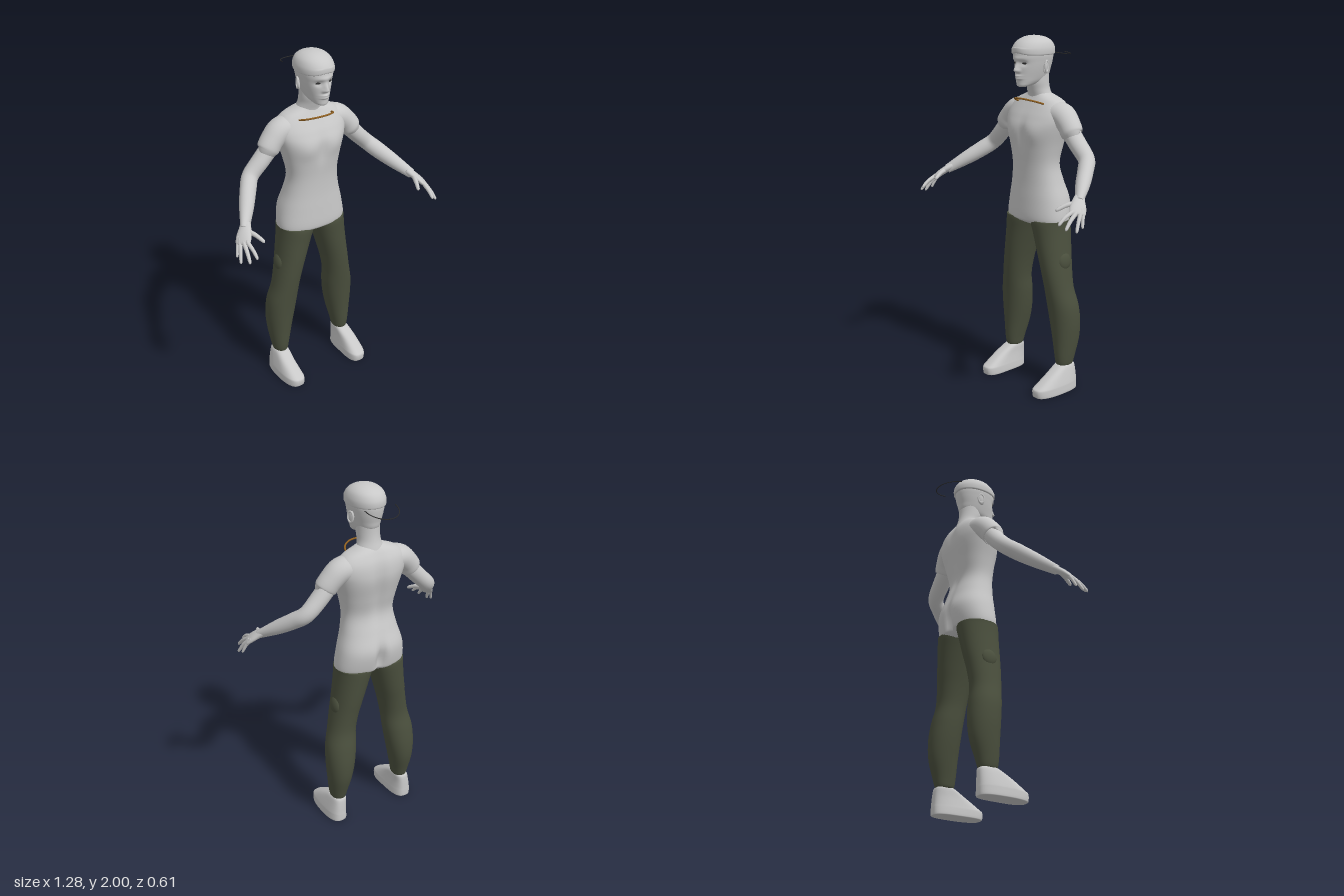
import * as THREE from 'three';

const mat = (name, color) => {
  const m = new THREE.MeshStandardMaterial({ color });
  m.name = name;
  return m;
};

// Smooth Catmull-Rom resampling of rows of numbers
function resample(rows, steps) {
  const out = [], n = rows.length;
  for (let i = 0; i < n - 1; i++) {
    const [a, b, c, d] = [rows[Math.max(i - 1, 0)], rows[i], rows[i + 1], rows[Math.min(i + 2, n - 1)]];
    for (let s = 0; s < steps; s++) {
      const t = s / steps;
      out.push(b.map((v, k) => v + 0.5 * t * (c[k] - a[k] +
        t * (2 * a[k] - 5 * v + 4 * c[k] - d[k] + t * (3 * (v - c[k]) + d[k] - a[k])))));
    }
  }
  out.push(rows[n - 1]);
  return out;
}

// Skin a list of rings (each running counter-clockwise about the path) and cap both ends
function skin(rings) {
  const n = rings[0].length, pos = [], idx = [];
  rings.forEach(r => r.forEach(p => pos.push(p.x, p.y, p.z)));
  for (let i = 0; i < rings.length - 1; i++) for (let j = 0; j < n; j++) {
    const a = i * n + j, b = i * n + (j + 1) % n;
    idx.push(a, b, b + n, a, b + n, a + n);
  }
  [0, rings.length - 1].forEach((i, end) => {
    const c = rings[i].reduce((s, p) => s.add(p), new THREE.Vector3()).divideScalar(n);
    const ci = pos.length / 3;
    pos.push(c.x, c.y, c.z);
    for (let j = 0; j < n; j++) {
      const a = i * n + j, b = i * n + (j + 1) % n;
      end ? idx.push(ci, a, b) : idx.push(ci, b, a);
    }
  });
  const g = new THREE.BufferGeometry();
  g.setAttribute('position', new THREE.Float32BufferAttribute(pos, 3));
  g.setIndex(idx);
  g.computeVertexNormals();
  return g;
}

const power = (v, p) => Math.sign(v) * Math.abs(v) ** (2 / p);

// Upright form from rows [y, centreX, halfWidth, zFront, zBack], listed upwards
function column(rows, { p = 2, seg = 40, steps = 5, shape = null } = {}) {
  return skin(resample(rows, steps).map(([y, cx, w, zf, zb]) =>
    Array.from({ length: seg }, (_, j) => {
      const t = j / seg * Math.PI * 2;
      const v = new THREE.Vector3(cx + w * power(Math.cos(t), p), y,
        (zf + zb) / 2 - (zf - zb) / 2 * power(Math.sin(t), p));
      if (shape) shape(v);
      return v;
    })));
}

// Limb along a path from rows [x, y, z, a, b]; radius a lies along ref
function limb(rows, side, ref, seg = 20, steps = 4) {
  const r = resample(rows.map(([x, ...rest]) => [x * side, ...rest]), steps);
  const at = i => new THREE.Vector3(...r[Math.min(Math.max(i, 0), r.length - 1)].slice(0, 3));
  const axis = new THREE.Vector3(ref[0] * side, ref[1], ref[2]);
  return skin(r.map((row, i) => {
    const T = at(i + 1).sub(at(i - 1)).normalize();
    const U = axis.clone().addScaledVector(T, -axis.dot(T)).normalize();
    const V = T.clone().cross(U);
    return Array.from({ length: seg }, (_, j) => {
      const t = j / seg * Math.PI * 2;
      return at(i).addScaledVector(U, row[3] * Math.cos(t)).addScaledVector(V, row[4] * Math.sin(t));
    });
  }));
}

const bump = (d, s) => Math.exp(-((d / s) ** 2));

export function createModel() {
  const model = new THREE.Group();
  const grey = mat('light grey', 0xc8c8c8), olive = mat('dark olive', 0x4a4f3d);
  const gold = mat('brown gold', 0x8f5f20), dark = mat('charcoal', 0x2a2a2a);
  const add = (name, geo, m) => {
    const mesh = new THREE.Mesh(geo, m);
    mesh.name = name;
    model.add(mesh);
    return mesh;
  };

  // Torso with spine groove, buttock cleft and chest
  add('torso', column([
    [0.955, 0, 0.12, -0.02, -0.17], [0.975, 0, 0.19, 0.015, -0.205], [1.0, 0, 0.206, 0.028, -0.222],
    [1.1, 0, 0.192, 0.026, -0.236], [1.2, 0, 0.165, 0.022, -0.205], [1.3, 0, 0.15, 0.024, -0.178],
    [1.4, 0, 0.167, 0.034, -0.195], [1.5, 0, 0.196, 0.04, -0.217], [1.56, 0, 0.21, 0.02, -0.218],
    [1.61, 0, 0.2, -0.008, -0.208], [1.65, 0, 0.16, -0.032, -0.188], [1.675, 0, 0.1, -0.045, -0.17],
    [1.69, 0, 0.065, -0.05, -0.15],
  ], {
    p: 2.3, seg: 72, shape: v => {
      if (v.z < -0.1) {
        v.z += 0.04 * bump(v.x, 0.025) * bump(v.y - 1.04, 0.08);
        v.z += 0.018 * bump(v.x, 0.035) * bump(v.y - 1.45, 0.2);
      } else if (v.z > -0.06) {
        v.z -= 0.01 * bump(v.x, 0.025) * bump(v.y - 1.47, 0.08);
        v.z += 0.008 * bump(Math.abs(v.x) - 0.09, 0.05) * bump(v.y - 1.47, 0.05);
      }
    },
  }), grey);

  // Neck
  add('neck', column([
    [1.62, 0, 0.09, -0.045, -0.185], [1.67, 0, 0.075, -0.042, -0.17], [1.71, 0, 0.063, -0.03, -0.158],
    [1.75, 0, 0.062, -0.018, -0.152], [1.8, 0, 0.062, -0.02, -0.15],
  ]), grey);

  // Head with brow, eye sockets, nose, lips and chin
  add('head', column([
    [1.727, 0, 0.018, 0.045, 0.0], [1.735, 0, 0.036, 0.054, -0.035], [1.755, 0, 0.052, 0.056, -0.105],
    [1.78, 0, 0.063, 0.058, -0.148], [1.82, 0, 0.075, 0.06, -0.16], [1.86, 0, 0.084, 0.062, -0.17],
    [1.9, 0, 0.09, 0.064, -0.174], [1.94, 0, 0.085, 0.055, -0.165],
  ], {
    p: 2.2, seg: 96, steps: 8, shape: v => {
      if (v.z < 0) return;
      const ax = Math.abs(v.x), y = v.y;
      v.z += 0.026 * bump(v.x, 0.013) * bump(y - 1.817, y > 1.817 ? 0.035 : 0.01);
      v.z += 0.008 * bump(ax - 0.014, 0.009) * bump(y - 1.815, 0.01);
      v.z -= 0.011 * bump(ax - 0.036, 0.018) * bump(y - 1.855, 0.014);
      v.z += 0.011 * bump(v.x, 0.024) * (bump(y - 1.787, 0.006) + bump(y - 1.774, 0.006));
      v.z += 0.006 * bump(v.x, 0.05) * bump(y - 1.88, 0.012);
    },
  }), grey);

  // Close-fitting cap with a rolled lower edge
  add('cap', column([
    [1.897, 0, 0.084, 0.058, -0.168], [1.898, 0, 0.095, 0.069, -0.18], [1.907, 0, 0.099, 0.074, -0.185],
    [1.935, 0, 0.098, 0.07, -0.183], [1.965, 0, 0.086, 0.047, -0.166], [1.985, 0, 0.064, 0.015, -0.136],
    [1.996, 0, 0.036, -0.018, -0.1], [2.0, 0, 0.006, -0.05, -0.066],
  ], {
    p: 2.1, seg: 48, shape: v => { if (v.y < 1.93 && v.z > 0) v.y += 0.012 * bump(v.x, 0.05); },
  }), grey);

  // Open wire loops behind the head and in front of the collar
  const wire = (name, radius, thick, m, point) => add(name, new THREE.TubeGeometry(
    new THREE.CatmullRomCurve3(Array.from({ length: 17 }, (_, i) => {
      const t = i / 16 * Math.PI;
      return point(radius * Math.cos(t), Math.sin(t));
    })), 48, thick, 8), m);
  wire('headWire', 0.092, 0.0025, dark, (x, s) => new THREE.Vector3(x, 1.91 - 0.025 * s, -0.2 - 0.105 * s));
  wire('collarWire', 0.102, 0.005, gold, (x, s) => new THREE.Vector3(x, 1.636 + 0.028 * s, -0.04 + 0.08 * s));

  for (const side of [1, -1]) {
    const label = side > 0 ? 'left' : 'right';

    // Eye and ear
    const eye = add(label + 'Eye', new THREE.SphereGeometry(1, 16, 10), dark);
    eye.scale.set(0.014, 0.0055, 0.005);
    eye.position.set(side * 0.037, 1.856, 0.044);
    eye.rotation.y = side * 0.3;
    const ear = add(label + 'Ear', new THREE.SphereGeometry(1, 16, 12), grey);
    ear.scale.set(0.008, 0.036, 0.02);
    ear.position.set(side * 0.089, 1.835, -0.064);
    ear.rotation.set(-0.2, side * 0.35, 0);
    const rim = add(label + 'EarRim', new THREE.TorusGeometry(0.017, 0.004, 8, 24), grey);
    rim.scale.set(1, 1.7, 1);
    rim.position.set(side * 0.095, 1.838, -0.066);
    rim.rotation.y = side * (Math.PI / 2 + 0.35);

    // Sleeve and arm
    add(label + 'Sleeve', limb([
      [0.09, 1.585, -0.11, 0.085, 0.07], [0.18, 1.575, -0.106, 0.074, 0.068], [0.235, 1.532, -0.1, 0.066, 0.062],
      [0.266, 1.49, -0.094, 0.06, 0.061], [0.27, 1.484, -0.094, 0.046, 0.046],
    ], side, [0, 0, 1], 28, 5), grey);
    add(label + 'Arm', limb([
      [0.24, 1.51, -0.096, 0.05, 0.05], [0.31, 1.435, -0.096, 0.051, 0.047], [0.38, 1.367, -0.09, 0.046, 0.045],
      [0.425, 1.322, -0.04, 0.043, 0.046], [0.48, 1.268, 0.035, 0.039, 0.04], [0.535, 1.215, 0.112, 0.025, 0.029],
      [0.548, 1.203, 0.13, 0.022, 0.026],
    ], side, [0, 0, 1], 24, 5), grey);

    // Palm, four fingers and thumb
    const across = [0.03, 0, -0.07];
    add(label + 'Palm', limb([
      [0.528, 1.222, 0.104, 0.026, 0.02], [0.548, 1.204, 0.132, 0.034, 0.02], [0.572, 1.18, 0.16, 0.043, 0.018],
      [0.591, 1.157, 0.183, 0.042, 0.014], [0.596, 1.15, 0.189, 0.03, 0.008],
    ], side, across), grey);
    [
      ['Little', [0.6, 1.163, 0.15], [0.632, 1.086, 0.187], 0.009],
      ['Ring', [0.6, 1.157, 0.17], [0.635, 1.072, 0.232], 0.01],
      ['Middle', [0.59, 1.156, 0.195], [0.608, 1.088, 0.282], 0.0105],
      ['Index', [0.575, 1.16, 0.213], [0.572, 1.11, 0.297], 0.01],
      ['Thumb', [0.547, 1.198, 0.145], [0.502, 1.166, 0.252], 0.012],
    ].forEach(([name, a, b, r]) => {
      const key = (t, k, lift = 0) => [...a.map((v, i) => v + (b[i] - v) * t + (i === 1 ? lift : 0)), r * k, r * k];
      add(label + name + 'Finger', limb([
        key(-0.2, 1), key(0.1, 1.1, 0.003), key(0.5, 1, 0.008), key(0.85, 0.85, 0.003), key(0.96, 0.6), key(1, 0.1),
      ], side, across, 12, 3), grey);
    });

    // Trouser leg as [y, inner x, outer x, zFront, zBack]
    add(label + 'TrouserLeg', column([
      [0.146, 0.185, 0.245, -0.065, -0.145], [0.152, 0.173, 0.256, -0.052, -0.157], [0.2, 0.163, 0.265, -0.044, -0.172],
      [0.3, 0.141, 0.278, -0.038, -0.2], [0.4, 0.121, 0.285, -0.03, -0.206], [0.5, 0.107, 0.28, -0.02, -0.196],
      [0.6, 0.099, 0.256, -0.008, -0.178], [0.7, 0.08, 0.238, 0.003, -0.183], [0.8, 0.053, 0.222, 0.011, -0.196],
      [0.9, 0.022, 0.21, 0.016, -0.206], [0.965, 0.0, 0.205, 0.02, -0.212], [0.988, -0.003, 0.205, 0.018, -0.212],
    ].map(([y, a, b, f, k]) => [y, side * (a + b) / 2, (b - a) / 2, f, k]), { p: 2.15, seg: 36 }), olive);

    // Round thigh patch
    const patch = add(label + 'ThighPatch', new THREE.SphereGeometry(1, 24, 16), olive);
    patch.scale.set(0.022, 0.05, 0.045);
    patch.position.set(side * 0.216, 0.762, -0.095);
    patch.rotation.z = side * 0.12;

    // Shoe: blocky heel sloping down to a rounded toe
    add(label + 'Shoe', column([
      [0.0, 0.226, 0.054, 0.118, -0.166], [0.004, 0.226, 0.059, 0.126, -0.17], [0.04, 0.226, 0.058, 0.129, -0.17],
      [0.056, 0.226, 0.056, 0.11, -0.169], [0.1, 0.223, 0.048, 0.04, -0.167], [0.138, 0.218, 0.042, -0.028, -0.163],
      [0.15, 0.216, 0.036, -0.05, -0.155],
    ].map(([y, x, ...r]) => [y, side * x, ...r]), {
      p: 2.9, seg: 40, steps: 3, shape: v => { if (v.z > 0) v.x -= side * v.z * 0.06; },
    }), grey);
  }
  return model;
}
